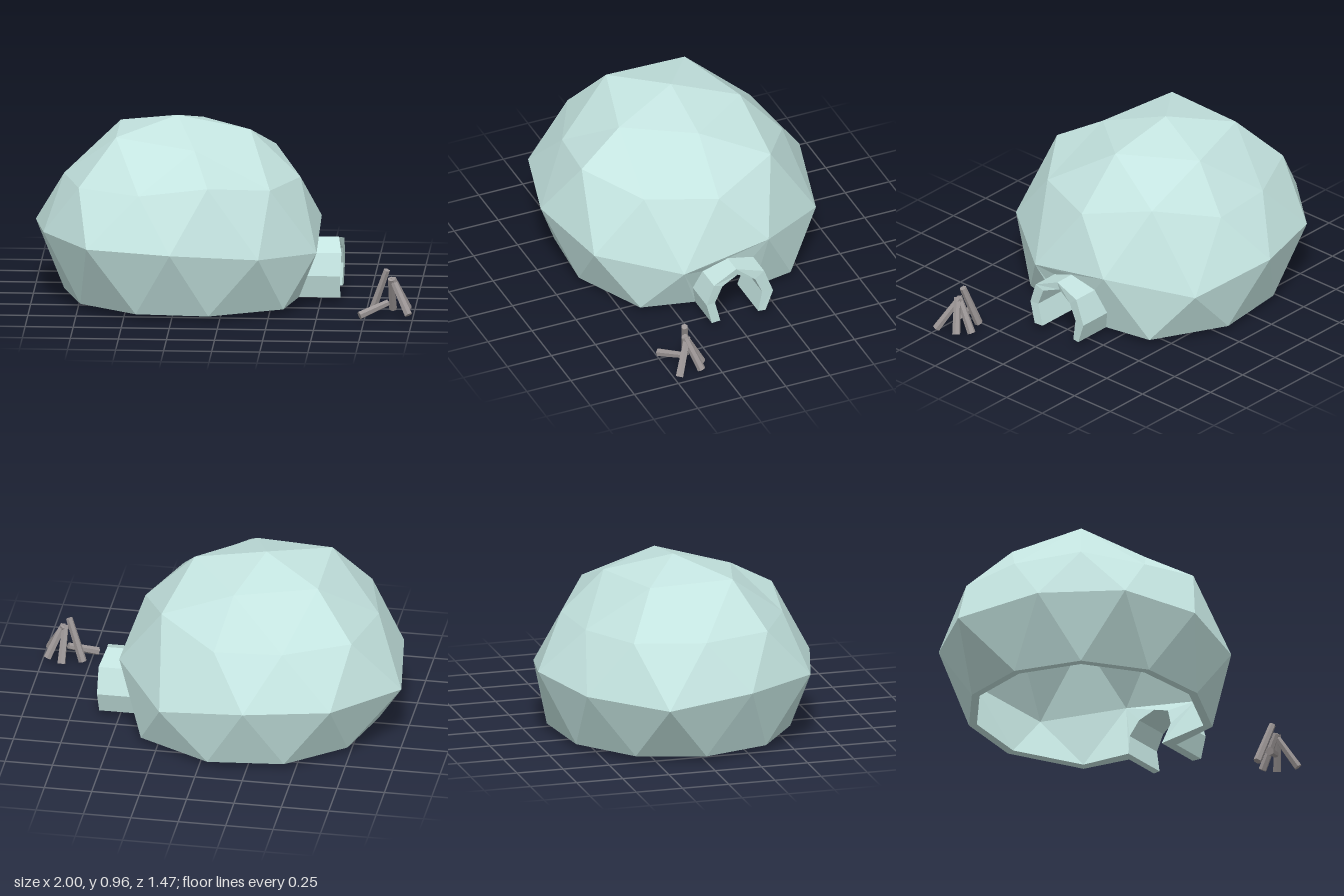
import * as THREE from 'three';

const V = (x, y, z) => new THREE.Vector3(x, y, z);
const CENTRE = V(-0.25, 0.03, 0);

// Collects triangles, each turned to face along a given direction
class Faces {
  constructor() { this.p = []; }
  tri(a, b, c, dir) {
    const n = b.clone().sub(a).cross(c.clone().sub(a));
    const order = n.dot(dir) >= 0 ? [a, b, c] : [a, c, b];
    for (const v of order) this.p.push(v.x, v.y, v.z);
  }
  quad(a, b, c, d, dir) { this.tri(a, b, c, dir); this.tri(a, c, d, dir); }
  mesh(name, material) {
    const g = new THREE.BufferGeometry();
    g.setAttribute('position', new THREE.Float32BufferAttribute(this.p, 3));
    g.computeVertexNormals();
    const m = new THREE.Mesh(g, material);
    m.name = name;
    return m;
  }
}

// Ring of points around the dome axis from radii and heights
function ring(start, step, radii, heights) {
  return heights.map((y, i) => {
    const a = THREE.MathUtils.degToRad(start + step * i), r = radii[i];
    return V(CENTRE.x + r * Math.cos(a), y, r * Math.sin(a));
  });
}

const RINGS = {
  top: [V(-0.25, 0.96, -0.01)],
  crown: ring(0, 72, [0.38, 0.35, 0.38, 0.38, 0.37], [0.89, 0.85, 0.89, 0.88, 0.87]),
  upper: ring(0, 36, [0.64, 0.62, 0.61, 0.56, 0.61, 0.59, 0.63, 0.56, 0.59, 0.61],
    [0.64, 0.65, 0.705, 0.65, 0.65, 0.645, 0.65, 0.64, 0.64, 0.73]),
  middle: ring(18, 36, [0.775, 0.775, 0.73, 0.75, 0.72, 0.79, 0.745, 0.74, 0.78, 0.775],
    [0.29, 0.34, 0.38, 0.38, 0.38, 0.34, 0.36, 0.38, 0.30, 0.38]),
  base: ring(0, 36, [0.63, 0.71, 0.63, 0.6, 0.6, 0.59, 0.6, 0.62, 0.665, 0.73], Array(10).fill(0.03)),
};

// Doorway arches as [z, y], from the front foot over to the back foot
const ARCH_OUT = [[0.135, 0.03], [0.165, 0.15], [0.125, 0.265], [-0.01, 0.32], [-0.16, 0.28], [-0.21, 0.145], [-0.17, 0.03]];
const ARCH_IN = [[0.085, 0.03], [0.115, 0.15], [0.075, 0.245], [-0.02, 0.28], [-0.11, 0.24], [-0.15, 0.15], [-0.13, 0.03]];
const FRONT_X = [0.605, 0.605, 0.61, 0.59, 0.61, 0.61, 0.605];
const wallX = y => 0.39 + 0.31 * (y - 0.03);
const outWall = ARCH_OUT.map(([z, y]) => V(wallX(y), y, z));
const inWall = ARCH_IN.map(([z, y]) => V(wallX(y) - 0.06, y, z));
const outFront = ARCH_OUT.map(([z, y], i) => V(FRONT_X[i], y, z));
const inFront = ARCH_IN.map(([z, y], i) => V(FRONT_X[i] - 0.005, y, z));

// One skin of the dome; sign +1 faces outward, -1 inward
function domeSkin(f, r, arch, sign) {
  const t = (a, b, c) => {
    const d = a.clone().add(b).add(c).divideScalar(3).sub(CENTRE).multiplyScalar(sign);
    f.tri(a, b, c, d);
  };
  const { crown, upper, middle, base } = r;
  for (let k = 0; k < 5; k++) {
    const a = crown[k], b = crown[(k + 1) % 5];
    const u0 = upper[2 * k], u1 = upper[2 * k + 1], u2 = upper[(2 * k + 2) % 10];
    t(r.top[0], a, b);
    t(a, u0, u1);
    t(a, u1, b);
    t(b, u1, u2);
  }
  for (let i = 0; i < 10; i++) {
    const j = (i + 1) % 10;
    t(upper[i], middle[i], upper[j]);
    t(upper[j], middle[i], middle[j]);
    if (i > 0 && i < 9) t(middle[i], base[i], base[j]);
    if (i < 9) t(middle[i], middle[j], base[j]);
  }
  // Panel around the doorway
  const [m0, m1] = [middle[0], middle[9]];
  t(m0, base[1], arch[0]);
  t(m1, base[9], arch[6]);
  t(m0, m1, arch[3]);
  for (let i = 0; i < 6; i++) t(i < 3 ? m0 : m1, arch[i], arch[i + 1]);
}

function dome(material) {
  const f = new Faces(), inner = {}, down = V(0, -1, 0);
  for (const k in RINGS) {
    inner[k] = RINGS[k].map(v => v.clone().sub(CENTRE).multiplyScalar(0.93).add(CENTRE));
  }
  domeSkin(f, RINGS, outWall, 1);
  domeSkin(f, inner, inWall, -1);
  // Underside of the wall, from one door foot round to the other
  const o = [outWall[0], ...RINGS.base.slice(1), outWall[6]];
  const n = [inWall[0], ...inner.base.slice(1), inWall[6]];
  for (let i = 0; i < o.length - 1; i++) f.quad(o[i], o[i + 1], n[i + 1], n[i], down);
  return f.mesh('dome', material);
}

function entrance(material) {
  const f = new Faces();
  for (let i = 0; i < 6; i++) {
    const j = i + 1;
    const out = outFront[i].clone().add(outFront[j]).multiplyScalar(0.5).sub(V(0, 0.12, -0.02));
    out.x = 0;
    f.quad(outWall[i], outWall[j], outFront[j], outFront[i], out);
    f.quad(inWall[i], inWall[j], inFront[j], inFront[i], out.clone().negate());
    f.quad(outFront[i], outFront[j], inFront[j], inFront[i], V(1, 0, 0));
  }
  for (const i of [0, 6]) f.quad(outWall[i], outFront[i], inFront[i], inWall[i], V(0, -1, 0));
  return f.mesh('entranceTunnel', material);
}

function firewood(material) {
  const group = new THREE.Group();
  group.name = 'firewood';
  const logs = [
    [V(0.725, 0.02, 0.49), V(0.87, 0.075, 0.42)],
    [V(0.785, 0.02, 0.365), V(0.863, 0.245, 0.405)],
    [V(0.89, 0.02, 0.32), V(0.885, 0.2, 0.415)],
    [V(0.97, 0.03, 0.355), V(0.895, 0.2, 0.415)],
    [V(0.98, 0.025, 0.485), V(0.89, 0.2, 0.4)],
  ];
  for (const [a, b] of logs) {
    const dir = b.clone().sub(a);
    const log = new THREE.Mesh(new THREE.CylinderGeometry(0.018, 0.022, dir.length(), 6), material);
    log.position.copy(a).add(b).multiplyScalar(0.5);
    log.quaternion.setFromUnitVectors(V(0, 1, 0), dir.normalize());
    log.name = 'log';
    group.add(log);
  }
  return group;
}

export function createModel() {
  const snow = new THREE.MeshStandardMaterial({ color: 0xc4e4e0, flatShading: true });
  const wood = new THREE.MeshStandardMaterial({ color: 0x9c9696, flatShading: true });
  const model = new THREE.Group();
  model.name = 'snowHut';
  model.add(dome(snow), entrance(snow), firewood(wood));
  return model;
}
